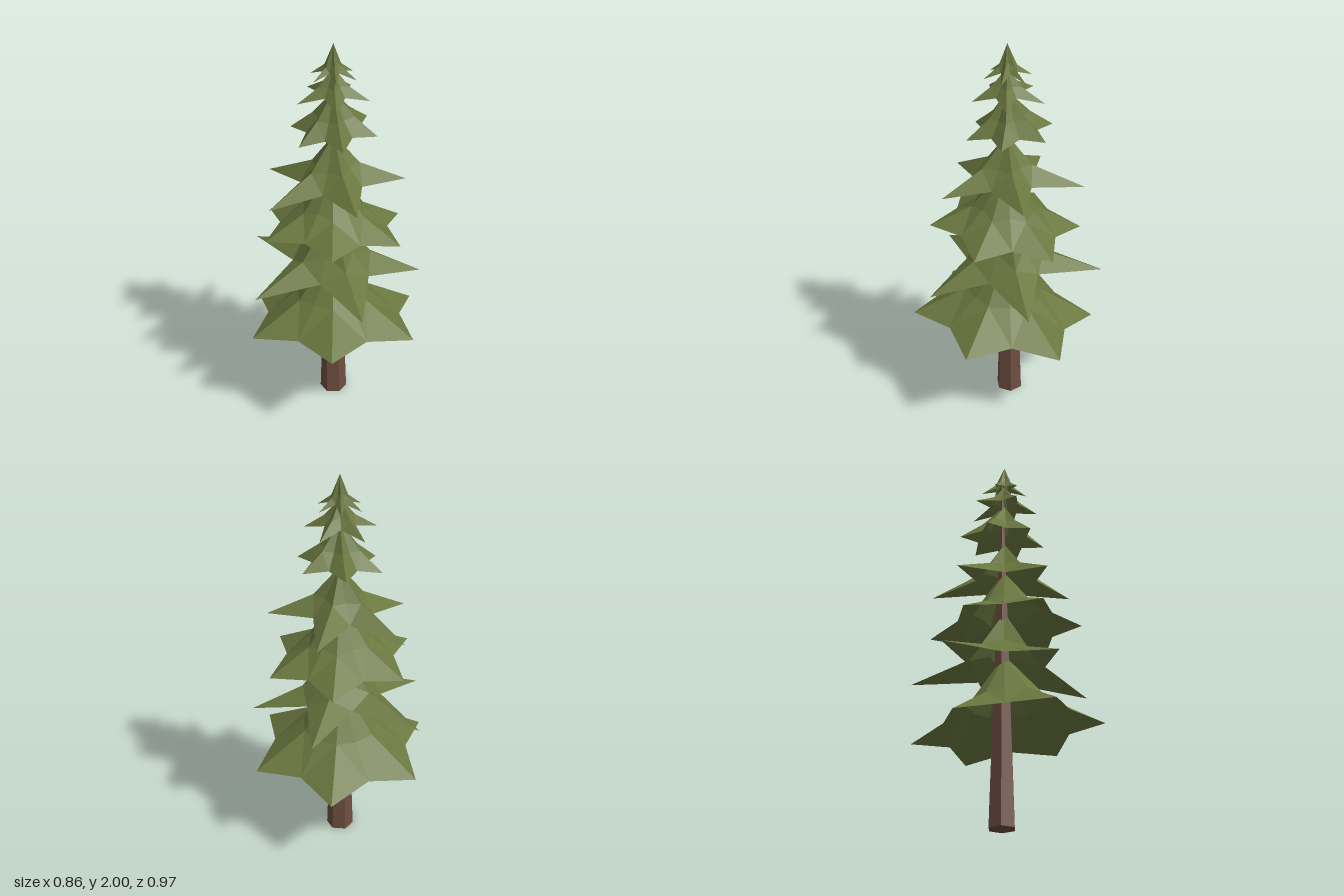
import * as THREE from 'three';

const DEG = Math.PI / 180;
const CENTRE_X = -0.015;

// Two branch stars: tip directions in degrees with their lengths
const SIX = [30, 90, 150, 210, 270, 330].map((angle) => ({ angle, length: 0.473 }));
const FIVE = [
  { angle: -7, length: 0.45 }, { angle: 70, length: 0.435 }, { angle: 145, length: 0.47 },
  { angle: 214, length: 0.503 }, { angle: 281, length: 0.491 },
];

// Tiers from the ground up. rim is the mean tip height, tilt leans the rim along x and z,
// kink is the bend along each branch, notch the gap between branches.
const TIERS = [
  { star: SIX, scale: 1, turn: 0, z: 0.01, apex: 0.89, rim: 0.475, tilt: [0, 0.1], kinkR: 0.2, kinkY: 0.635, notchR: 0.345, lift: 0.025 },
  { star: FIVE, scale: 1, turn: 0, z: -0.005, apex: 1.13, rim: 0.748, tilt: [-0.05, -0.07], kinkR: 0.19, kinkY: 0.87, notchR: 0.21, lift: 0.06 },
  { star: SIX, scale: 0.81, turn: 0, z: 0, apex: 1.36, rim: 1.017, tilt: [-0.03, 0.08], kinkR: 0.17, kinkY: 1.13, notchR: 0.27, lift: 0.02 },
  { star: FIVE, scale: 0.8, turn: 0, z: 0, apex: 1.53, rim: 1.252, tilt: [0.07, 0], kinkR: 0.13, kinkY: 1.37, notchR: 0.165, lift: 0.035 },
  { star: SIX, scale: 0.47, turn: -13, z: -0.02, apex: 1.76, rim: 1.543, tilt: [0.04, -0.05], kinkR: 0.105, kinkY: 1.635, notchR: 0.135, lift: 0.015 },
  { star: FIVE, scale: 0.39, turn: 14, z: -0.005, apex: 1.88, rim: 1.72, tilt: [0, 0], kinkR: 0.075, kinkY: 1.79, notchR: 0.08, lift: 0.03 },
  { star: SIX, scale: 0.25, turn: -8, z: -0.01, apex: 2, rim: 1.832, tilt: [0, 0], kinkR: 0.045, kinkY: 1.89, notchR: 0.045, lift: 0.03 },
];

function skirtGeometry({ star, scale, turn, z, apex, rim, tilt, kinkR, kinkY, notchR, lift }) {
  const top = new THREE.Vector3(CENTRE_X, apex, -0.008);

  // A point around the tier, raised or lowered by the lean of the rim
  const around = (angle, radius, height) => {
    const dx = radius * Math.cos(angle * DEG);
    const dz = radius * Math.sin(angle * DEG);
    return new THREE.Vector3(CENTRE_X + dx, height + tilt[0] * dx + tilt[1] * dz, z + dz);
  };

  // Alternate a branch ridge with the valley that follows it
  const inner = [], outer = [];
  star.forEach(({ angle, length }, i) => {
    const next = i + 1 < star.length ? star[i + 1].angle : star[0].angle + 360;
    const notch = around((angle + next) / 2 + turn, notchR, rim + lift);
    const valley = notch.clone().lerp(top, 0.45);
    valley.y -= (apex - notch.y) * 0.1;
    inner.push(around(angle + turn, kinkR, kinkY), valley);
    outer.push(around(angle + turn, length * scale, rim), notch);
  });

  // Each panel is split along the line from the branch bend to the notch
  const points = [];
  for (let i = 0; i < inner.length; i++) {
    const j = (i + 1) % inner.length;
    points.push(top, inner[j], inner[i]);
    if (i % 2 === 0) {
      points.push(inner[i], inner[j], outer[j], inner[i], outer[j], outer[i]);
    } else {
      points.push(inner[j], outer[j], outer[i], inner[j], outer[i], inner[i]);
    }
  }
  const geometry = new THREE.BufferGeometry().setFromPoints(points);
  geometry.computeVertexNormals();
  return geometry;
}

export function createModel() {
  const model = new THREE.Group();
  model.name = 'pineTree';

  const needles = new THREE.MeshStandardMaterial({
    color: 0x6a773f, flatShading: true, side: THREE.DoubleSide });
  needles.name = 'needleGreen';
  const bark = new THREE.MeshStandardMaterial({ color: 0x6f4e41, flatShading: true });
  bark.name = 'barkBrown';

  // Six-sided tapering trunk with corners on the x axis
  const trunkHeight = 1.88;
  const trunkGeometry = new THREE.CylinderGeometry(0.006, 0.07, trunkHeight, 6);
  trunkGeometry.rotateY(Math.PI / 6);
  const trunk = new THREE.Mesh(trunkGeometry, bark);
  trunk.name = 'trunk';
  trunk.position.set(-0.018, trunkHeight / 2, -0.02);
  model.add(trunk);

  // Branch skirts
  TIERS.forEach((tier, i) => {
    const skirt = new THREE.Mesh(skirtGeometry(tier), needles);
    skirt.name = `branchTier${i + 1}`;
    model.add(skirt);
  });

  return model;
}
